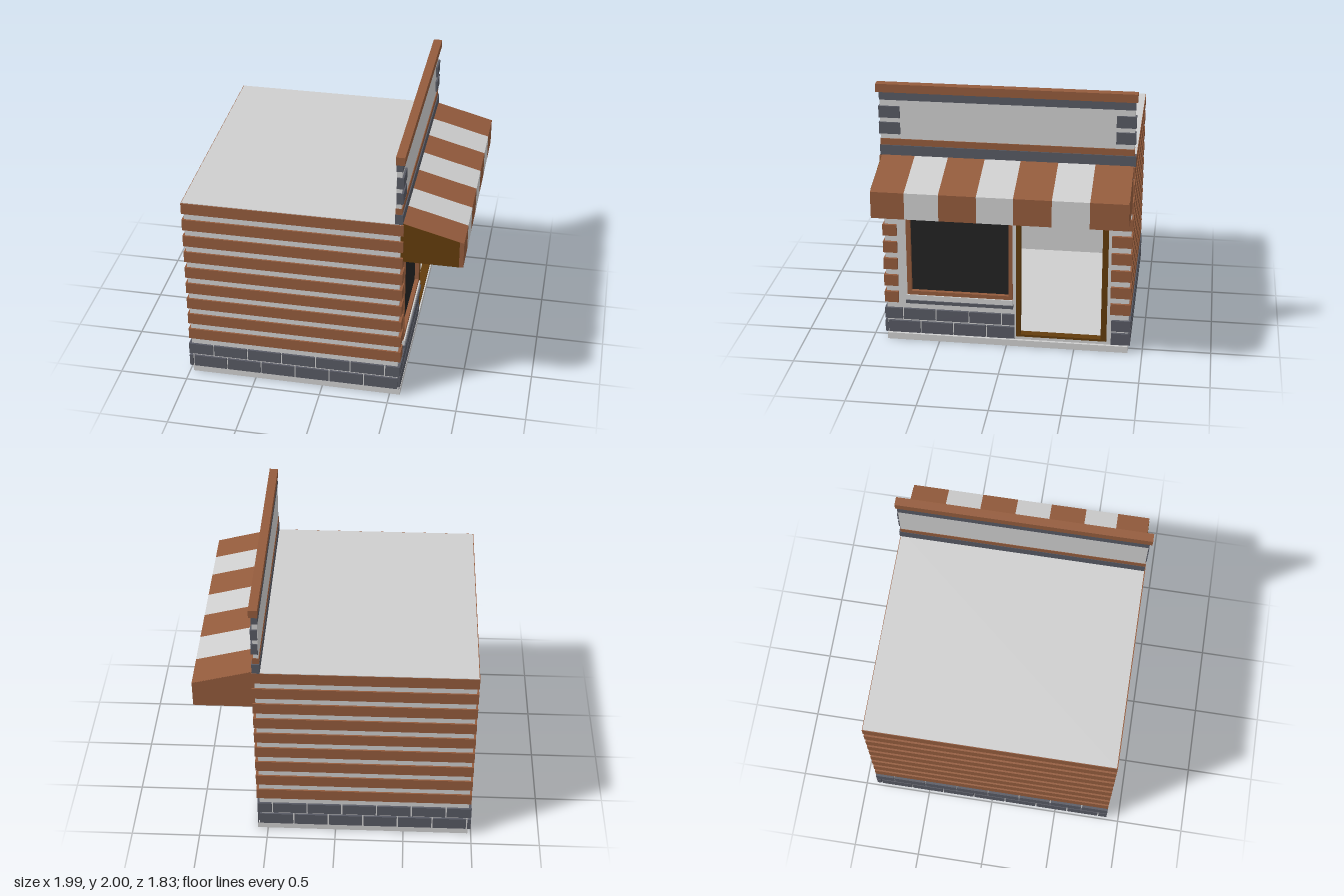
import * as THREE from 'three';

export function createModel() {
  const root = new THREE.Group();
  const mat = (name, color) => {
    const m = new THREE.MeshStandardMaterial({ color, side: THREE.DoubleSide });
    m.name = name;
    return m;
  };
  const plaster = mat('pale plaster', 0xcecece);
  const brown = mat('brick brown', 0x935b3c);
  const slate = mat('slate grey', 0x575963);
  const timber = mat('dark timber', 0x623c0c);
  const glass = mat('dark glass', 0x222222);

  const add = (name, geometry, material, parent = root) => {
    const mesh = new THREE.Mesh(geometry, material);
    mesh.name = name;
    parent.add(mesh);
    return mesh;
  };
  // Box given by its minimum and maximum on each axis
  const box = (name, material, x0, x1, y0, y1, z0, z1, parent = root) => {
    const g = new THREE.BoxGeometry(x1 - x0, y1 - y0, z1 - z0);
    g.translate((x0 + x1) / 2, (y0 + y1) / 2, (z0 + z1) / 2);
    return add(name, g, material, parent);
  };
  const group = (name) => {
    const g = new THREE.Group();
    g.name = name;
    root.add(g);
    return g;
  };

  // Hollow shell: floor, roof and three plain walls
  const shell = group('shell');
  box('floor', plaster, -0.975, 0.555, 0, 0.08, -0.895, 0.89, shell);
  box('roof', plaster, -0.985, 0.555, 1.455, 1.468, -0.903, 0.896, shell);
  box('backWall', plaster, -0.975, -0.945, 0.08, 1.455, -0.895, 0.89, shell);
  box('leftWall', plaster, -0.945, 0.52, 0.08, 1.455, 0.86, 0.89, shell);
  box('rightWall', plaster, -0.945, 0.52, 0.08, 1.455, -0.895, -0.865, shell);
  box('frontPlinth', plaster, 0.555, 0.575, 0, 0.05, -0.895, 0.89, shell);

  // Shopfront wall with door and window openings
  const rect = (T, z0, z1, y0, y1) => {
    const s = new T();
    s.moveTo(-z0, y0).lineTo(-z1, y0).lineTo(-z1, y1).lineTo(-z0, y1).closePath();
    return s;
  };
  const front = rect(THREE.Shape, -0.895, 0.89, 0.08, 1.455);
  front.holes.push(rect(THREE.Path, -0.73, -0.075, 0.085, 1.385));
  front.holes.push(rect(THREE.Path, -0.04, 0.725, 0.385, 1.395));
  const frontGeo = new THREE.ExtrudeGeometry(front, { depth: 0.035, bevelEnabled: false });
  frontGeo.rotateY(Math.PI / 2).translate(0.52, 0, 0);
  add('frontWall', frontGeo, plaster, shell);

  // Horizontal brown courses on both sides and the back, returning at the front corners
  const courses = group('brickCourses');
  for (let i = 0; i < 9; i++) {
    const y0 = 0.305 + i * 0.1342, y1 = Math.min(y0 + 0.086, 1.464);
    box('leftCourse', brown, -0.99, 0.575, y0, y1, 0.88, 0.903, courses);
    box('rightCourse', brown, -0.99, 0.575, y0, y1, -0.907, -0.88, courses);
    box('backCourse', brown, -0.99, -0.965, y0, y1, -0.88, 0.88, courses);
    box('frontLeftCourse', brown, 0.54, 0.575, y0, y1, 0.80, 0.88, courses);
    box('frontRightCourse', brown, 0.54, 0.575, y0, y1, -0.88, -0.76, courses);
  }

  // Two staggered rows of stone blocks around the foot of the walls
  const blocks = group('stoneBase');
  const row = (from, to, firstJoint, step, place) => {
    let a = from;
    for (let joint = firstJoint; a < to; joint += step) {
      place(a, Math.min(joint, to));
      a = joint + 0.01;
    }
  };
  [[0.06, 0.152, -0.97, 0.64], [0.17, 0.256, -0.815, 0.52]].forEach(([y0, y1, joint, frontJoint], i) => {
    row(-0.995, 0.572, joint, 0.2545, (a, b) => {
      box('leftBlock', slate, a, b, y0, y1, 0.885, 0.905, blocks);
      box('rightBlock', slate, a, b, y0, y1, -0.91, -0.885, blocks);
    });
    row(-0.885, 0.885, i ? -0.77 : -0.88, 0.2445, (a, b) =>
      box('backBlock', slate, -0.995, -0.97, y0, y1, a, b, blocks));
    row(-0.06, 0.885, i ? 0.03 : 0.145, 0.2445, (a, b) =>
      box('frontBlock', slate, 0.55, 0.574, y0, y1, a, b, blocks));
    box('cornerBlock', slate, 0.55, 0.574, y0, y1, -0.885, -0.77, blocks);
  });

  // Shop window: glass, frame, transom, mullion and sill
  const win = group('window');
  box('glass', glass, 0.53, 0.54, 0.39, 1.39, -0.035, 0.72, win);
  box('frameLeft', brown, 0.525, 0.57, 0.375, 1.4, 0.70, 0.732, win);
  box('frameRight', brown, 0.525, 0.57, 0.375, 1.4, -0.046, -0.016, win);
  box('frameBottom', brown, 0.525, 0.57, 0.375, 0.405, -0.016, 0.70, win);
  box('frameTop', brown, 0.525, 0.57, 1.37, 1.4, -0.016, 0.70, win);
  box('transom', brown, 0.525, 0.565, 1.112, 1.165, -0.016, 0.70, win);
  box('mullion', brown, 0.525, 0.565, 1.165, 1.37, 0.315, 0.35, win);
  box('sillLedge', plaster, 0.55, 0.58, 0.335, 0.375, -0.048, 0.738, win);
  box('sill', slate, 0.55, 0.588, 0.31, 0.335, -0.05, 0.742, win);

  // Open doorway lined with dark timber
  const door = group('doorFrame');
  box('jambLeft', timber, 0.51, 0.57, 0.08, 1.39, -0.103, -0.07, door);
  box('jambRight', timber, 0.51, 0.57, 0.08, 1.39, -0.737, -0.695, door);
  box('lintel', timber, 0.51, 0.57, 1.355, 1.39, -0.695, -0.103, door);
  box('threshold', timber, 0.51, 0.57, 0.08, 0.097, -0.695, -0.103, door);

  // Parapet sign board with bands, cap and corner stones
  const parapet = group('parapet');
  box('lowerBand', slate, 0.515, 0.57, 1.468, 1.545, -0.91, 0.897, parapet);
  box('brownBand', brown, 0.517, 0.563, 1.545, 1.592, -0.9, 0.895, parapet);
  box('panel', plaster, 0.52, 0.557, 1.592, 1.88, -0.897, 0.892, parapet);
  box('upperBand', slate, 0.517, 0.562, 1.88, 1.94, -0.9, 0.895, parapet);
  box('cap', brown, 0.515, 0.577, 1.94, 2, -0.912, 0.915, parapet);
  for (const y of [1.63, 1.75]) {
    box('cornerStoneLeft', slate, 0.522, 0.57, y, y + 0.085, 0.75, 0.9, parapet);
    box('cornerStoneRight', slate, 0.522, 0.57, y, y + 0.085, -0.907, -0.77, parapet);
  }

  // Striped awning, open underneath: each stripe is a thin slope plus a valance
  const awning = group('awning');
  const slice = (name, points, z0, z1, material) => {
    const s = new THREE.Shape(points.map(([x, y]) => new THREE.Vector2(x, y)));
    const g = new THREE.ExtrudeGeometry(s, { depth: z1 - z0, bevelEnabled: false });
    add(name, g.translate(0, 0, z0), material, awning);
  };
  const canopy = [[0.555, 1.476], [0.555, 1.468], [0.96, 1.36], [0.96, 1.165], [0.99, 1.165], [0.99, 1.36]];
  const edges = [-0.895, -0.63, -0.37, -0.105, 0.15, 0.412, 0.65, 0.885];
  for (let i = 0; i < 7; i++)
    slice('stripe', canopy, edges[i], edges[i + 1], i % 2 ? plaster : brown);
  const cheek = [[0.555, 1.165], [0.96, 1.165], [0.96, 1.367], [0.555, 1.475]];
  slice('leftCheek', cheek, 0.877, 0.887, timber);
  slice('rightCheek', cheek, -0.897, -0.887, brown);

  return root;
}
